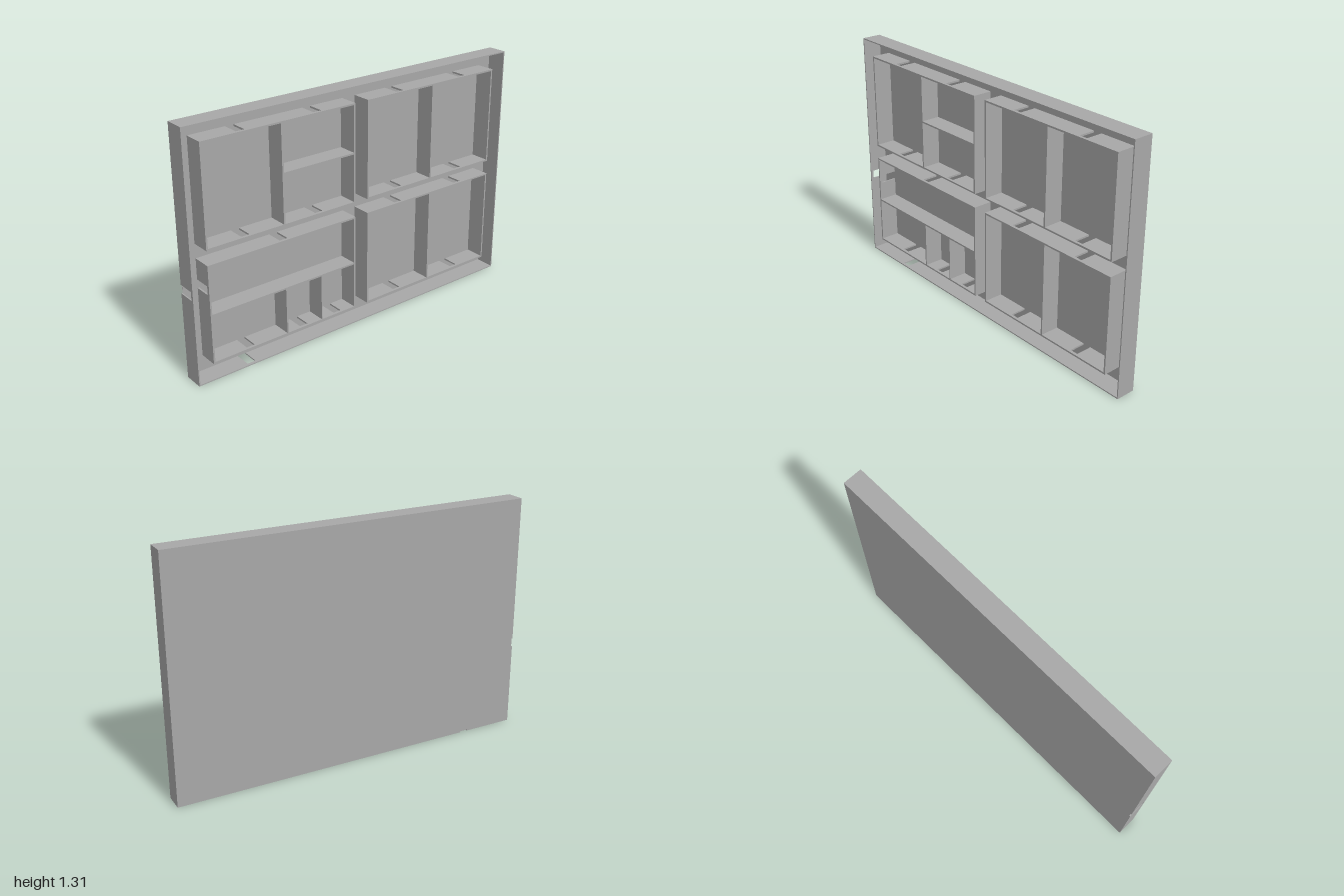
import * as THREE from 'three';

const W = 2, H = 1.306, D = 0.107;     // overall size
const FLOOR = 0.002, LINTEL = 0.015;   // base sheet, bar left above each doorway
const OUTER = 0.006, INNER = 0.009;    // wall thicknesses
const DOOR = 0.046;

export function createModel() {
  const model = new THREE.Group();
  model.name = 'floorPlan';
  const gray = new THREE.MeshStandardMaterial({ color: 0xa8a8a8 });
  gray.name = 'plainGray';

  // Upright wall from a to b along x or y, at the given offset, with doorways cut from the base
  function wall(parent, name, axis, at, a, b, t = INNER, doors = [], base = -D / 2 + FLOOR) {
    const top = D / 2;
    const s = new THREE.Shape();
    s.moveTo(a, base);
    for (const d of doors) {
      s.lineTo(d - DOOR / 2, base);
      s.lineTo(d - DOOR / 2, top - LINTEL);
      s.lineTo(d + DOOR / 2, top - LINTEL);
      s.lineTo(d + DOOR / 2, base);
    }
    s.lineTo(b, base);
    s.lineTo(b, top);
    s.lineTo(a, top);
    const g = new THREE.ExtrudeGeometry(s, { depth: t, bevelEnabled: false });
    g.translate(0, 0, -t / 2).rotateX(Math.PI / 2);
    if (axis === 'y') g.rotateZ(Math.PI / 2).translate(at, 0, 0);
    else g.translate(0, at, 0);
    const m = new THREE.Mesh(g, gray);
    m.name = name;
    parent.add(m);
  }

  // Base sheet set inside the outer walls
  const floor = new THREE.Mesh(new THREE.BoxGeometry(W - 2 * OUTER, H - 2 * OUTER, FLOOR), gray);
  floor.position.set(0, H / 2, -D / 2 + FLOOR / 2);
  floor.name = 'basePlate';
  model.add(floor);

  // Outer enclosure
  const frame = new THREE.Group();
  frame.name = 'outerWalls';
  const o = OUTER / 2;
  wall(frame, 'bottomOuterWall', 'x', o, -W / 2, W / 2, OUTER, [-0.693], -D / 2);
  wall(frame, 'topOuterWall', 'x', H - o, -W / 2, W / 2, OUTER, [], -D / 2);
  wall(frame, 'rightOuterWall', 'y', -W / 2 + o, OUTER, H - OUTER, OUTER, [0.483], -D / 2);
  wall(frame, 'leftOuterWall', 'y', W / 2 - o, OUTER, H - OUTER, OUTER, [], -D / 2);
  model.add(frame);

  // Four room blocks: bounds, doorways per side, and partitions [axis, at, from, to, thickness]
  const west = [-0.693, -0.261], east = [0.259, 0.691];
  const blocks = [
    { name: 'upperRightBlock', x: [-0.909, -0.045], y: [0.697, 1.217], low: west, high: west,
      parts: [['y', -0.477, 0.697, 1.217], ['x', 0.962, -0.477, -0.045]] },
    { name: 'upperLeftBlock', x: [0.043, 0.907], y: [0.697, 1.217], low: east, high: east,
      parts: [['y', 0.475, 0.697, 1.217]] },
    { name: 'lowerRightBlock', x: [-0.909, -0.045], y: [0.095, 0.612],
      low: [-0.693, -0.37, -0.153], high: [-0.477], side: [0.483],
      parts: [['x', 0.353, -0.909, -0.045], ['y', -0.477, 0.095, 0.353], ['y', -0.261, 0.095, 0.353, 0.005]] },
    { name: 'lowerLeftBlock', x: [0.043, 0.907], y: [0.095, 0.612], low: east, high: east,
      parts: [['y', 0.475, 0.095, 0.612]] },
  ];
  const h = INNER / 2;
  for (const b of blocks) {
    const g = new THREE.Group();
    g.name = b.name;
    const [x0, x1] = b.x, [y0, y1] = b.y;
    wall(g, 'bottomWall', 'x', y0, x0 - h, x1 + h, INNER, b.low);
    wall(g, 'topWall', 'x', y1, x0 - h, x1 + h, INNER, b.high);
    wall(g, 'rightWall', 'y', x0, y0 + h, y1 - h, INNER, b.side);
    wall(g, 'leftWall', 'y', x1, y0 + h, y1 - h);
    for (const [axis, at, from, to, t] of b.parts) wall(g, 'partition', axis, at, from + h, to - h, t);
    model.add(g);
  }
  return model;
}
